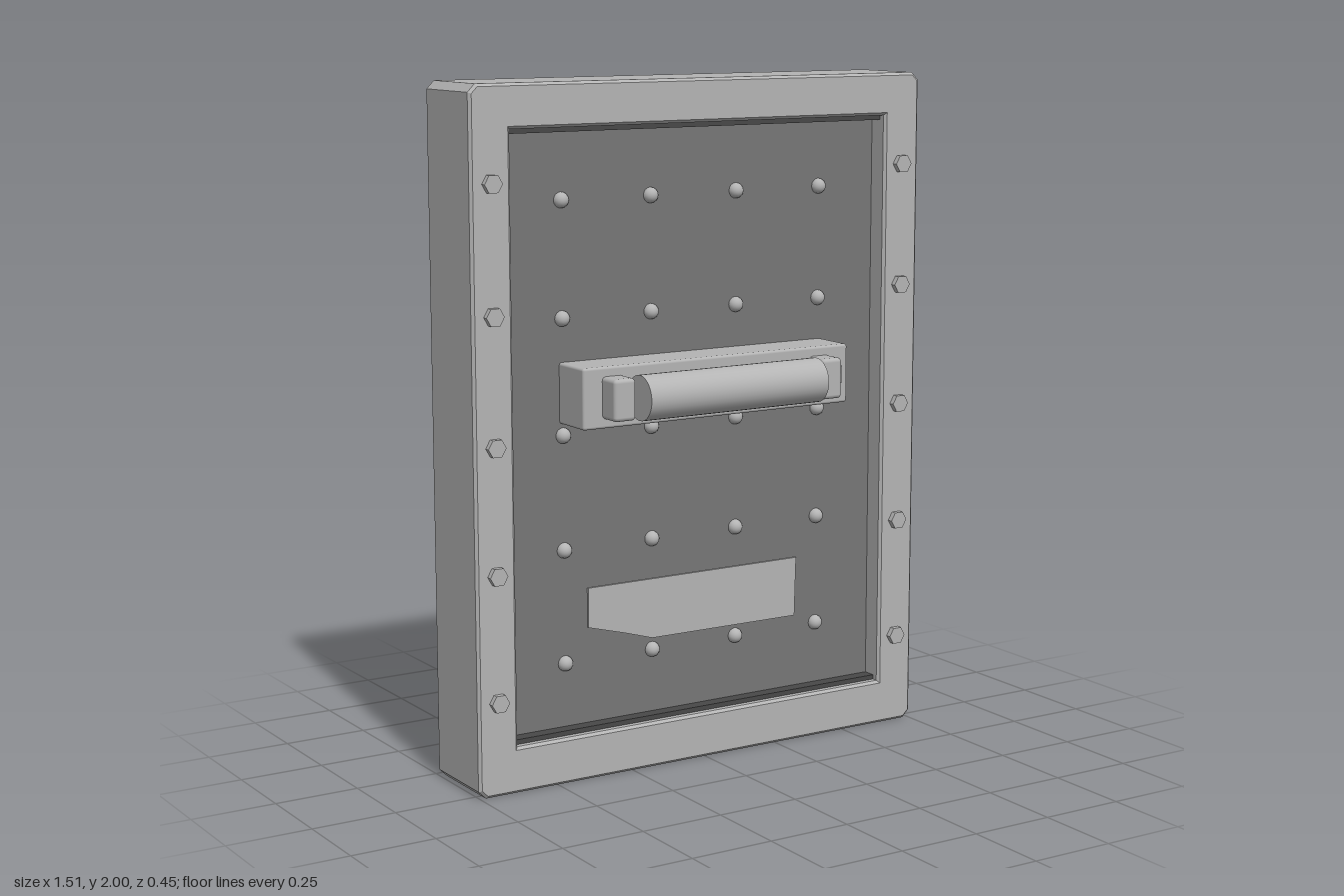
import * as THREE from 'three';
import { RoundedBoxGeometry } from 'three/addons/geometries/RoundedBoxGeometry.js';

export function createModel() {
  const group = new THREE.Group();
  const mat = (name, color) => {
    const m = new THREE.MeshStandardMaterial({ color });
    m.name = name;
    return m;
  };
  const steel = mat('light steel', 0xb4b4b4);
  const darkSteel = mat('dark steel', 0x767676);
  const seal = mat('dark seal', 0x484848);

  const add = (name, geometry, material, x, y, z) => {
    const mesh = new THREE.Mesh(geometry, material);
    mesh.name = name;
    mesh.position.set(x, y, z);
    group.add(mesh);
    return mesh;
  };
  const polygon = (Type, pts) => new Type(pts.map(([x, y]) => new THREE.Vector2(x, y)));

  // Outer frame with clipped corners and softened edges
  const bevel = 0.008, w = 0.755 - bevel, lo = bevel, hi = 2 - bevel, c = 0.018;
  const outline = polygon(THREE.Shape, [
    [-w + c, lo], [w - c, lo], [w, lo + c], [w, hi - c],
    [w - c, hi], [-w + c, hi], [-w, hi - c], [-w, lo + c],
  ]);
  const hx = 0.63 + bevel, h0 = 0.135 - bevel, h1 = 1.875 + bevel;
  outline.holes.push(polygon(THREE.Path, [[-hx, h0], [-hx, h1], [hx, h1], [hx, h0]]));
  add('frame', new THREE.ExtrudeGeometry(outline, {
    depth: 0.26 - 2 * bevel, bevelEnabled: true, bevelThickness: bevel, bevelSize: bevel, bevelSegments: 1,
  }), steel, 0, 0, -0.225 + bevel);

  // Recessed panel with dark seals along its top and bottom
  const panelZ = -0.03;
  add('panel', new THREE.BoxGeometry(1.27, 1.75, 0.17), darkSteel, 0, 1.005, panelZ - 0.085);
  for (const y of [0.142, 1.868])
    add('panelSeal', new THREE.BoxGeometry(1.26, 0.014, 0.05), seal, 0, y, panelZ + 0.015);

  // Domed rivets on the panel
  const dome = new THREE.SphereGeometry(0.023, 16, 6, 0, Math.PI * 2, 0, Math.PI / 2);
  dome.rotateX(Math.PI / 2);
  for (const y of [0.337, 0.67, 1.003, 1.337, 1.67])
    for (const x of [-0.44, -0.148, 0.142, 0.434])
      add('rivet', dome, steel, x, y, panelZ);

  // Hexagonal bolts down both sides of the frame
  const hex = new THREE.CylinderGeometry(0.028, 0.028, 0.02, 6).toNonIndexed();
  hex.computeVertexNormals();
  hex.rotateX(Math.PI / 2);
  hex.rotateZ(Math.PI / 2);
  for (const y of [0.275, 0.64, 1.003, 1.367, 1.73])
    for (const x of [-0.692, 0.69])
      add('frameBolt', hex, steel, x, y, 0.042);

  // Handle: backplate, brackets, grip and latch tab
  add('handleBackplate', new RoundedBoxGeometry(0.9, 0.175, 0.145, 2, 0.008), steel, 0, 1.125, 0.033);
  for (const x of [-0.354, 0.348])
    add('handleBracket', new RoundedBoxGeometry(0.07, 0.12, 0.09, 2, 0.012), steel, x, 1.125, 0.13);
  const grip = add('handleGrip', new THREE.CylinderGeometry(0.065, 0.065, 0.6, 32), steel, 0, 1.125, 0.16);
  grip.rotation.z = Math.PI / 2;
  add('latchTab', new THREE.BoxGeometry(0.045, 0.05, 0.025), steel, 0.4, 1.125, 0.106);

  // Thin plate with one corner sunk into the panel
  const plate = polygon(THREE.Shape, [
    [-0.365, 0.433], [-0.25, 0.402], [-0.15, 0.372], [0.355, 0.37], [0.36, 0.55], [-0.365, 0.55],
  ]);
  add('blankPlate', new THREE.ExtrudeGeometry(plate, { depth: 0.006, bevelEnabled: false }), steel, 0, 0, panelZ);

  return group;
}
